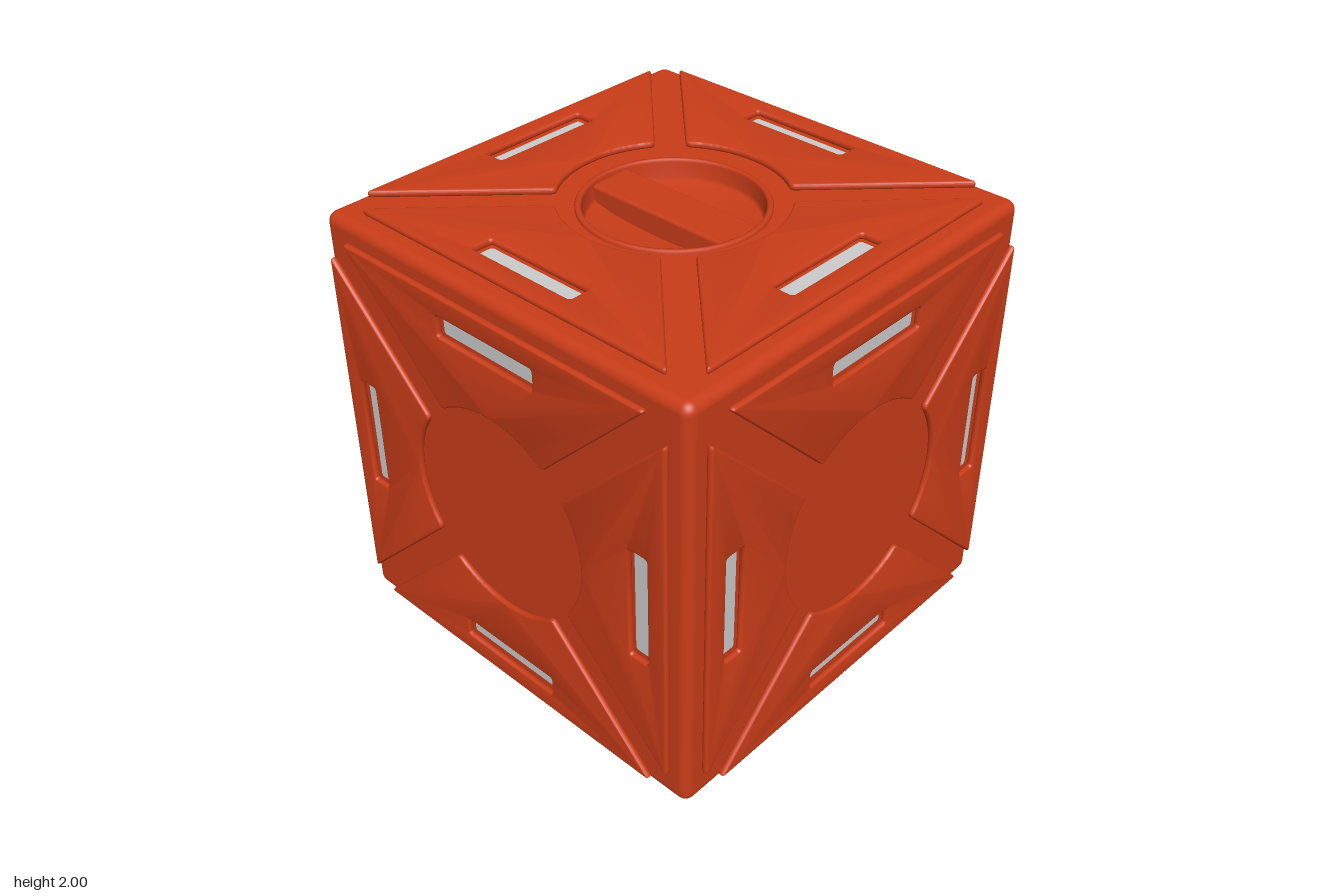
import * as THREE from 'three';
import { RoundedBoxGeometry } from 'three/addons/geometries/RoundedBoxGeometry.js';
import { toCreasedNormals } from 'three/addons/utils/BufferGeometryUtils.js';

const HALF = 0.955, ROUND = 0.045; // body half size and edge radius
const red = new THREE.MeshStandardMaterial({ color: 0xc83c18 });
const grey = new THREE.MeshStandardMaterial({ color: 0xcccccc });

function part(name, geometry, material = red) {
  const mesh = new THREE.Mesh(geometry, material);
  mesh.name = name;
  return mesh;
}

function roundedRect(target, cx, cy, hw, hh, r) {
  target.moveTo(cx - hw + r, cy - hh);
  target.lineTo(cx + hw - r, cy - hh);
  target.absarc(cx + hw - r, cy - hh + r, r, -Math.PI / 2, 0);
  target.absarc(cx + hw - r, cy + hh - r, r, 0, Math.PI / 2);
  target.absarc(cx - hw + r, cy + hh - r, r, Math.PI / 2, Math.PI);
  target.absarc(cx - hw + r, cy - hh + r, r, Math.PI, Math.PI * 1.5);
  return target;
}

// Trapezoid plate with a round bite on its inner side and a slot
function panelGeometry() {
  const s = new THREE.Shape();
  const ox = 0.8, oy = 0.89, ix = 0.277, iy = 0.367, R = 0.46, c = 0.016;
  const a = Math.atan2(iy, ix) + 0.05;
  s.moveTo(-ox + 2 * c, oy);
  s.quadraticCurveTo(-ox, oy, -ox + c, oy - c);
  s.lineTo(-ix - c, iy + c);
  s.quadraticCurveTo(-ix, iy, -R * Math.cos(a), R * Math.sin(a));
  s.absarc(0, 0, R, Math.PI - a, a, true);
  s.quadraticCurveTo(ix, iy, ix + c, iy + c);
  s.lineTo(ox - c, oy - c);
  s.quadraticCurveTo(ox, oy, ox - 2 * c, oy);
  s.closePath();
  s.holes.push(roundedRect(new THREE.Path(), 0, 0.755, 0.256, 0.046, 0.012));
  const g = new THREE.ExtrudeGeometry(s, {
    depth: 0.008, bevelThickness: 0.01, bevelSize: 0.01, bevelOffset: -0.01,
    bevelSegments: 3, curveSegments: 20,
  });
  g.translate(0, 0, 0.982);
  return toCreasedNormals(g, 0.6);
}

// Rounded cube whose flat top is left out, to be replaced by a pierced one
function openBodyGeometry() {
  const src = new RoundedBoxGeometry(2 * HALF, 2 * HALF, 2 * HALF, 5, ROUND);
  const p = src.attributes.position, n = src.attributes.normal;
  const pos = [], nor = [];
  for (let i = 0; i < p.count; i += 3) {
    if ([0, 1, 2].every((k) => p.getY(i + k) > HALF - 1e-4)) continue;
    for (let k = i; k < i + 3; k++) {
      pos.push(p.getX(k), p.getY(k), p.getZ(k));
      nor.push(n.getX(k), n.getY(k), n.getZ(k));
    }
  }
  const g = new THREE.BufferGeometry();
  g.setAttribute('position', new THREE.Float32BufferAttribute(pos, 3));
  g.setAttribute('normal', new THREE.Float32BufferAttribute(nor, 3));
  return g;
}

function topGeometry() {
  const h = HALF - ROUND;
  const s = new THREE.Shape([[-h, -h], [h, -h], [h, h], [-h, h]].map(([x, y]) => new THREE.Vector2(x, y)));
  s.holes.push(new THREE.Path().absarc(0, 0, 0.375, 0, Math.PI * 2));
  return new THREE.ShapeGeometry(s, 32).rotateX(-Math.PI / 2).translate(0, HALF, 0);
}

export function createModel() {
  const model = new THREE.Group();
  const cube = new THREE.Group();
  cube.name = 'cube';
  cube.position.y = 1;
  model.add(cube);

  cube.add(part('body', openBodyGeometry()), part('bodyTop', topGeometry()));

  // Four slotted panels with grey inserts on each of the six faces
  const panel = panelGeometry();
  const insert = new THREE.ShapeGeometry(roundedRect(new THREE.Shape(), 0, 0.755, 0.262, 0.052, 0.012));
  insert.translate(0, 0, 0.958);
  const q = Math.PI / 2;
  const faces = [
    ['front', 0, 0], ['left', 0, q], ['back', 0, 2 * q],
    ['right', 0, -q], ['top', -q, 0], ['bottom', q, 0],
  ];
  for (const [name, rx, ry] of faces) {
    const face = new THREE.Group();
    face.name = name + 'Face';
    face.rotation.set(rx, ry, 0);
    for (let i = 0; i < 4; i++) {
      const side = new THREE.Group();
      side.name = 'panelUnit';
      side.rotation.z = i * q;
      side.add(part('panel', panel), part('slotInsert', insert, grey));
      face.add(side);
    }
    cube.add(face);
  }

  // Round lid: raised lip around a dished recess, crossed by a grip bar
  const profile = [
    [0.386, 0.945], [0.386, 0.962], [0.381, 0.969], [0.372, 0.971], [0.363, 0.969],
    [0.358, 0.96], [0.355, 0.9], [0.345, 0.885], [0.25, 0.867], [0.12, 0.857], [0, 0.855],
  ].map(([x, y]) => new THREE.Vector2(x, y));
  cube.add(part('lid', new THREE.LatheGeometry(profile, 64)));
  const grip = part('gripBar', new RoundedBoxGeometry(0.712, 0.12, 0.2, 3, 0.015));
  grip.position.y = 0.895;
  cube.add(grip);

  return model;
}
